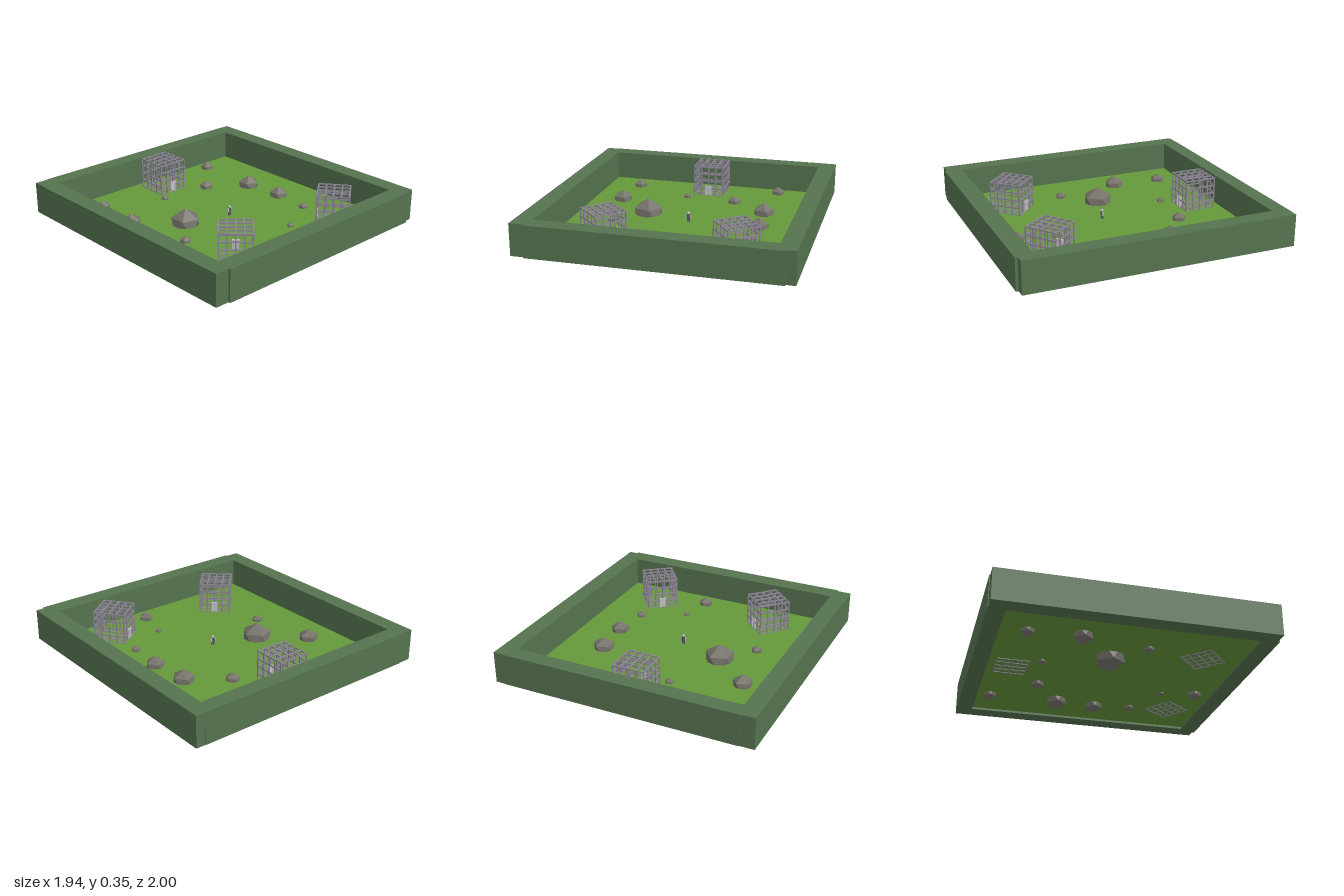
import * as THREE from 'three';
import { mergeGeometries } from 'three/addons/utils/BufferGeometryUtils.js';

const mat = (name, color, extra = {}) => {
  const m = new THREE.MeshStandardMaterial({ color, ...extra });
  m.name = name;
  return m;
};

const FLOOR = 0.125;

// box geometry centred at a point
const box = (w, h, d, x, y, z) => new THREE.BoxGeometry(w, h, d).translate(x, y, z);

// box geometry from min and max corners
const span = (x0, x1, y0, y1, z0, z1) =>
  box(x1 - x0, y1 - y0, z1 - z0, (x0 + x1) / 2, (y0 + y1) / 2, (z0 + z1) / 2);

function add(parent, name, geometry, material) {
  const mesh = new THREE.Mesh(geometry, material);
  mesh.name = name;
  parent.add(mesh);
  return mesh;
}

// cubic lattice of bars, with a small door in its +z side
function makeCage(barMat, doorMat) {
  const cage = new THREE.Group();
  const bars = [];
  const n = 4, size = 0.232, h = size / 2, t = 0.009, step = size / n;
  for (let i = 0; i <= n; i++) {
    const p = -h + i * step;
    for (const s of [-h, h]) {
      // uprights on the four sides; the middle front one starts above the door
      const doorway = i === n / 2 && s > 0;
      const y0 = doorway ? 0.075 : 0;
      bars.push(box(t, size - y0, t, p, (size + y0) / 2, s));
      if (i > 0 && i < n) bars.push(box(t, size, t, s, size / 2, p));
      // horizontal rails
      const y = i * step;
      bars.push(box(t, t, size + t, s, y, 0));
      if (s > 0 && i === 1) {
        for (const side of [-1, 1]) bars.push(box(h - 0.025, t, t, side * (h + 0.025) / 2, y, s));
      } else {
        bars.push(box(size + t, t, t, 0, y, s));
      }
    }
    // roof and floor lattice
    if (i > 0 && i < n) {
      for (const y of [0, size]) {
        bars.push(box(t, t, size, p, y, 0));
        bars.push(box(size, t, t, 0, y, p));
      }
    }
  }
  add(cage, 'bars', mergeGeometries(bars), barMat);

  // door frame and leaf
  const door = [box(0.05, 0.01, 0.016, 0, 0.075, h + 0.002), box(0.03, 0.068, 0.005, 0, 0.036, h)];
  for (const s of [-1, 1]) door.push(box(0.007, 0.075, 0.014, s * 0.0215, 0.0375, h + 0.001));
  add(cage, 'door', mergeGeometries(door), doorMat);
  return cage;
}

// small standing figure
function makeFigure(light, dark) {
  const fig = new THREE.Group();
  for (const s of [-1, 1]) {
    add(fig, 'leg', box(0.009, 0.03, 0.01, s * 0.007, 0.015, 0), dark);
    add(fig, 'arm', box(0.007, 0.027, 0.009, s * 0.0165, 0.043, 0), light);
  }
  add(fig, 'torso', box(0.025, 0.028, 0.016, 0, 0.043, 0), dark);
  add(fig, 'head', new THREE.SphereGeometry(0.0105, 12, 8).translate(0, 0.066, 0), light);
  return fig;
}

export function createModel() {
  const model = new THREE.Group();
  model.name = 'walledField';
  const wallMat = mat('hedge green', 0x55734f);
  const grassMat = mat('grass green', 0x659839, { side: THREE.DoubleSide });
  const rockMat = mat('stone', 0x75726a, { flatShading: true });
  const barMat = mat('cage grey', 0x8c8594);
  const doorMat = mat('pale grey', 0xc4c0c8);
  const darkMat = mat('dark grey', 0x5c5a60);

  // ground
  add(model, 'ground', new THREE.PlaneGeometry(1.72, 1.78).rotateX(-Math.PI / 2).translate(-0.004, FLOOR, -0.007), grassMat);

  // surrounding walls
  const y0 = 0.108, y1 = 0.342;
  add(model, 'leftWall', span(0.842, 0.967, y0, y1, -0.997, 0.982), wallMat);
  add(model, 'rightWall', span(-0.973, -0.847, y0, y1, -0.995, 0.985), wallMat);
  add(model, 'backWall', span(-0.87, 0.9, y0, y1, -1, -0.882), wallMat);
  add(model, 'frontWall', span(-0.87, 0.9, y0, y1, 0.87, 1), wallMat);

  // half-sunk boulders: x, z, radius
  const boulder = new THREE.IcosahedronGeometry(1, 0).rotateZ(Math.atan(2 / (1 + Math.sqrt(5)))).rotateY(Math.PI);
  [
    [-0.587, -0.693, 0.056], [0.54, -0.783, 0.056], [-0.612, -0.317, 0.079],
    [-0.14, -0.508, 0.033], [0.25, -0.468, 0.056], [0.522, -0.266, 0.086],
    [-0.322, -0.053, 0.118], [0.55, 0.038, 0.075], [-0.522, 0.175, 0.043],
    [0.52, 0.325, 0.039], [0.203, 0.492, 0.027], [0.145, 0.74, 0.057],
  ].forEach(([x, z, r]) => {
    const rock = add(model, 'boulder', boulder, rockMat);
    rock.position.set(x, FLOOR, z);
    rock.scale.setScalar(r);
  });

  // three cages, doors turned toward the middle
  [
    ['backCage', 0.01, -0.707, 0],
    ['rightCage', -0.442, 0.598, Math.atan2(0.69, -0.73)],
    ['leftCage', 0.507, 0.63, Math.atan2(-0.61, -0.79)],
  ].forEach(([name, x, z, yaw]) => {
    const cage = makeCage(barMat, doorMat);
    cage.name = name;
    cage.position.set(x, FLOOR, z);
    cage.rotation.y = yaw;
    model.add(cage);
  });

  const figure = makeFigure(doorMat, darkMat);
  figure.name = 'figure';
  figure.position.set(0.018, FLOOR, 0.05);
  model.add(figure);

  // rest the lowest boulder tip on the ground plane
  const bounds = new THREE.Box3().setFromObject(model);
  model.children.forEach((c) => { c.position.y -= bounds.min.y; });
  return model;
}
